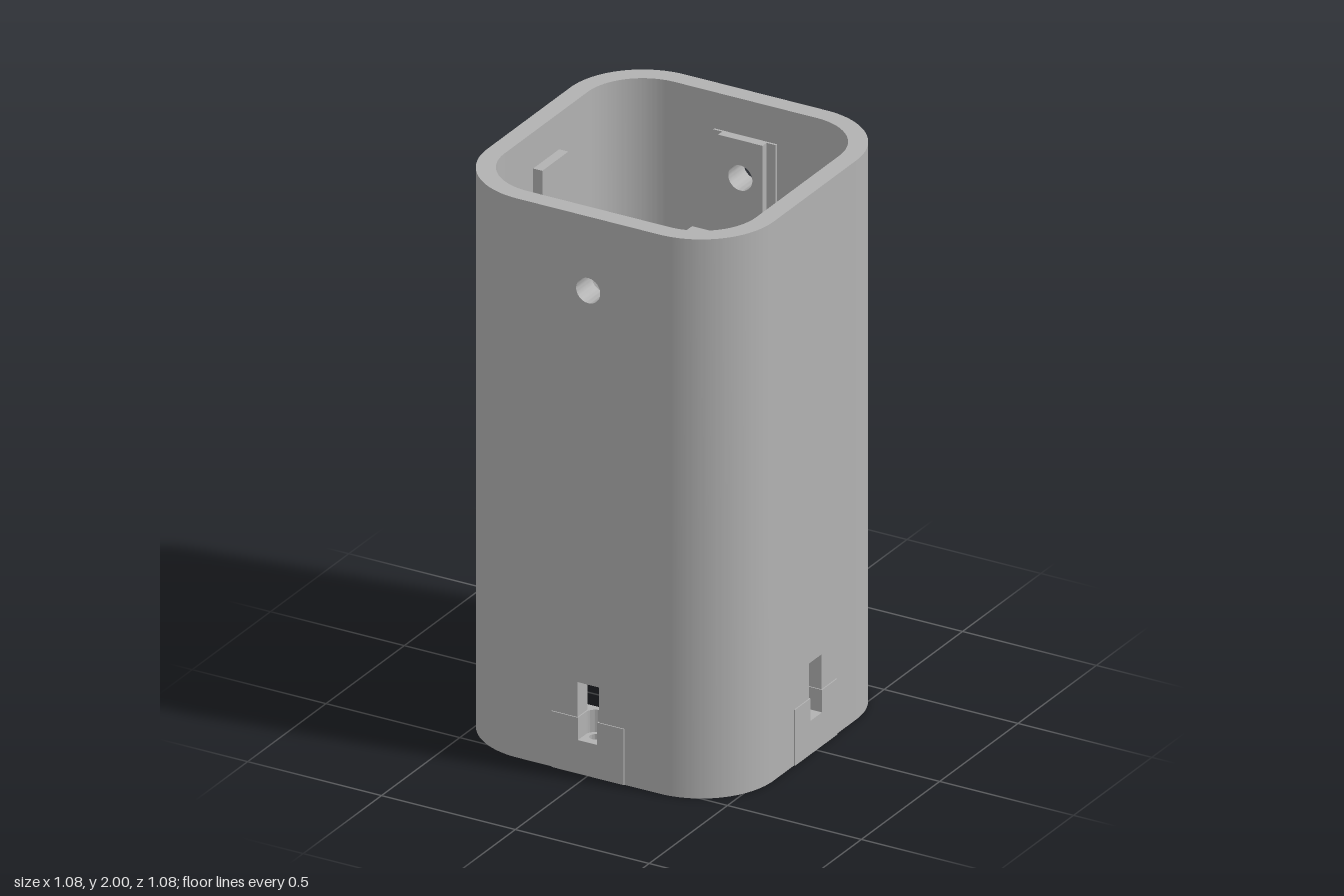
import * as THREE from 'three';
import { toCreasedNormals } from 'three/addons/utils/BufferGeometryUtils.js';

const OUT = 0.535, IN = 0.47, FLAT = 0.265, H = 2, HOLE_Y = 1.735, HOLE_R = 0.045;
const CLIP_W = 0.135, CLIP_H = 0.2, POCKET = 0.12;

export function createModel() {
  const model = new THREE.Group();
  model.name = 'squareTube';
  const grey = new THREE.MeshStandardMaterial({ color: 0xb2b2b2 });
  grey.name = 'grey';

  const poly = (pts) => new THREE.Shape(pts.map(([x, y]) => new THREE.Vector2(x, y)));
  const rect = (x0, x1, y0, y1) => poly([[x0, y0], [x1, y0], [x1, y1], [x0, y1]]);
  const drill = (shape, x, y, r) => {
    shape.holes.push(new THREE.Path().absarc(x, y, r, 0, Math.PI * 2, true));
    return shape;
  };
  const extrude = (shape, depth) => toCreasedNormals(new THREE.ExtrudeGeometry(shape,
    { depth, bevelEnabled: false, curveSegments: 24 }), 0.5);
  const add = (parent, name, geometry) => {
    const mesh = new THREE.Mesh(geometry, grey);
    mesh.name = name;
    parent.add(mesh);
  };
  // Plate standing in the wall plane, from depth z0 to z1
  const upright = (shape, z0, z1) => extrude(shape, z1 - z0).translate(0, 0, z0);
  // Plan shape (x, -z) raised from y0 to y1
  const raised = (shape, y0, y1) => extrude(shape, y1 - y0).rotateX(-Math.PI / 2).translate(0, y0, 0);

  // side: quarter turns from the front; key: which way the key block sits
  [[0, -1], [1, -1], [2, 1], [3, 1]].forEach(([turn, key]) => {
    const side = new THREE.Group();
    side.name = ['frontSide', 'leftSide', 'backSide', 'rightSide'][turn];
    side.rotation.y = turn * Math.PI / 2;
    model.add(side);
    const drilled = turn % 2 === 0;

    // Flat wall, notched for the clip block and the latch slot above it
    const wall = poly([
      [-FLAT, 0], [-CLIP_W, 0], [-CLIP_W, CLIP_H], [-0.04, CLIP_H], [-0.04, 0.325],
      [0.04, 0.325], [0.04, CLIP_H], [CLIP_W, CLIP_H], [CLIP_W, 0], [FLAT, 0],
      [FLAT, H], [-FLAT, H],
    ]);
    if (drilled) drill(wall, 0, HOLE_Y, HOLE_R);
    add(side, 'wall', upright(wall, IN, OUT));

    // Clip block: drilled base below, open round-backed pocket above
    const base = drill(rect(-CLIP_W, CLIP_W, -0.539, -0.436), 0, -0.49, 0.02);
    add(side, 'clipBase', raised(base, 0, POCKET));
    const pocket = new THREE.Shape();
    pocket.moveTo(-CLIP_W, -0.539);
    pocket.lineTo(-0.036, -0.539);
    pocket.lineTo(-0.036, -0.49);
    pocket.absarc(0, -0.49, 0.036, Math.PI, 0, true);
    pocket.lineTo(0.036, -0.539);
    pocket.lineTo(CLIP_W, -0.539);
    pocket.lineTo(CLIP_W, -0.436);
    pocket.lineTo(-CLIP_W, -0.436);
    add(side, 'clipPocket', raised(pocket, POCKET, CLIP_H));

    // Inner pad near the top, with a thin square backing where it is drilled
    const pad = rect(-0.083, 0.083, 1.5, 1.87);
    if (drilled) {
      drill(pad, 0, HOLE_Y, HOLE_R);
      const backing = drill(rect(-0.117, 0.117, 1.63, 1.87), 0, HOLE_Y, HOLE_R);
      add(side, 'padBacking', upright(backing, 0.462, IN));
    }
    add(side, 'innerPad', upright(pad, 0.436, IN));

    // Key block beside the pad
    const x = key * 0.15;
    add(side, 'keyBlock', upright(rect(x - 0.05, x + 0.05, 1.2, 1.5), 0.415, IN));

    // Rounded corner
    const corner = new THREE.Shape();
    corner.absarc(FLAT, FLAT, OUT - FLAT, 0, Math.PI / 2, false);
    corner.absarc(FLAT, FLAT, IN - FLAT, Math.PI / 2, 0, true);
    add(side, 'corner', raised(corner, 0, H));
  });
  return model;
}
